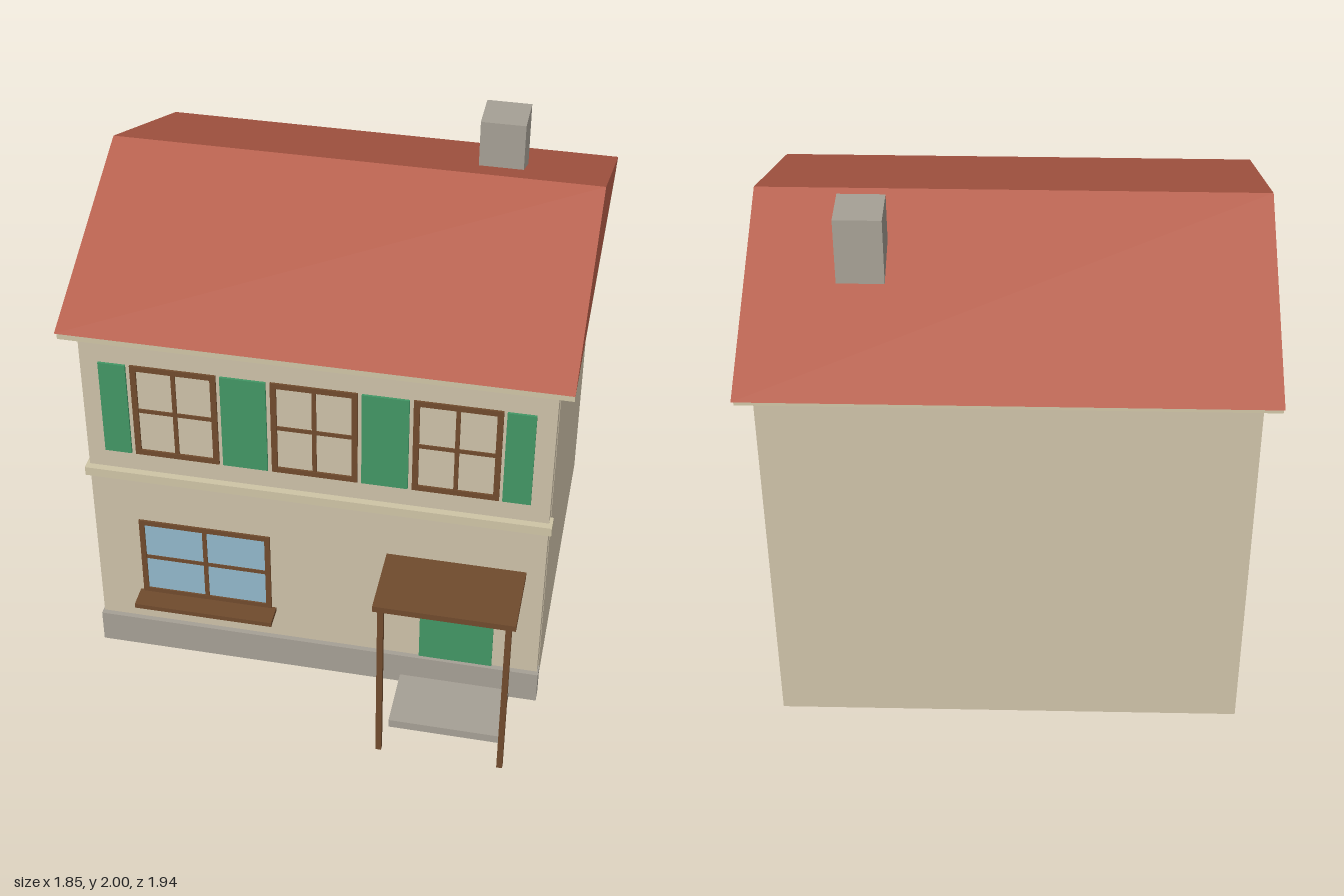
import * as THREE from 'three';

function material(name, color) {
  const m = new THREE.MeshStandardMaterial({ color });
  m.name = name;
  return m;
}

export function createModel() {
  const house = new THREE.Group();
  house.name = 'house';
  const wall = material('beige wall', 0xcdc1a8);
  const trim = material('cream trim', 0xcfc5a6);
  const plain = material('light grey', 0xc8c8c8);
  const stone = material('grey stone', 0xa6a095);
  const roofRed = material('red roof', 0xb35b47);
  const green = material('green paint', 0x429665);
  const brown = material('brown wood', 0x704b2d);
  const glass = material('blue glass', 0x92b8ca);

  // Box given by its limits on each axis
  const box = (name, mat, x0, x1, y0, y1, z0, z1, parent = house) => {
    const mesh = new THREE.Mesh(new THREE.BoxGeometry(x1 - x0, y1 - y0, z1 - z0), mat);
    mesh.position.set((x0 + x1) / 2, (y0 + y1) / 2, (z0 + z1) / 2);
    mesh.name = name;
    parent.add(mesh);
    return mesh;
  };

  // Body: grey core with wall panels on the front, back and left side
  const front = 0.57;
  box('core', plain, -0.867, 0.863, 0.003, 1.515, -0.877, 0.51);
  box('frontWall', wall, -0.87, 0.867, 0.003, 1.515, 0.51, front);
  box('leftWall', wall, 0.863, 0.867, 0.003, 1.515, -0.88, 0.483);
  box('backWall', wall, -0.867, 0.863, 0.003, 1.515, -0.88, -0.877);

  // Plinth, storey band and cornice
  box('plinth', stone, -0.876, 0.873, 0.006, 0.145, 0.535, 0.59);
  box('band', trim, -0.882, 0.88, 0.868, 0.905, 0.535, 0.597);
  box('cornice', trim, -0.925, 0.923, 1.515, 1.555, -0.935, 0.626);

  // Gabled roof as a prism along x
  const gable = new THREE.Shape([
    new THREE.Vector2(-0.65, 1.555),
    new THREE.Vector2(0.97, 1.555),
    new THREE.Vector2(0.16, 1.9),
  ]);
  const roofGeo = new THREE.ExtrudeGeometry(gable, { depth: 1.85, bevelEnabled: false });
  roofGeo.rotateY(Math.PI / 2);
  roofGeo.translate(-0.925, 0, 0);
  const roof = new THREE.Mesh(roofGeo, roofRed);
  roof.name = 'roof';
  house.add(roof);
  box('chimney', stone, 0.435, 0.605, 1.66, 2, -0.532, -0.362);

  // Window frame with crossed glazing bars
  const windowFrame = (name, x0, x1, y0, y1, w, bar) => {
    const g = new THREE.Group();
    g.name = name;
    house.add(g);
    const z0 = front - 0.005, z1 = front + 0.008;
    const cx = (x0 + x1) / 2, cy = (y0 + y1) / 2;
    for (const x of [x0, x1 - w]) box('frameSide', brown, x, x + w, y0, y1, z0, z1, g);
    for (const y of [y0, y1 - w]) box('frameRail', brown, x0 + w, x1 - w, y, y + w, z0, z1, g);
    box('uprightBar', brown, cx - bar / 2, cx + bar / 2, y0 + w, y1 - w, z0, z1 - 0.002, g);
    box('crossBar', brown, x0 + w, x1 - w, cy - bar / 2, cy + bar / 2, z0, z1 - 0.003, g);
    return g;
  };

  // Upper windows and shutters
  for (const x of [-0.522, -0.002, 0.52]) {
    windowFrame('upperWindow', x - 0.16, x + 0.16, 0.987, 1.395, 0.022, 0.016);
  }
  for (const [x0, x1] of [[-0.8, -0.698], [-0.347, -0.178], [0.173, 0.275], [0.275, 0.345], [0.692, 0.796]]) {
    box('shutter', green, x0, x1, 0.988, 1.393, front - 0.005, front + 0.009);
  }

  // Lower window with sill
  const lower = windowFrame('lowerWindow', -0.695, -0.18, 0.288, 0.655, 0.021, 0.017);
  box('pane', glass, -0.676, -0.199, 0.305, 0.636, front - 0.003, front + 0.002, lower);
  box('sill', brown, -0.71, -0.163, 0.27, 0.29, front - 0.005, 0.66, lower);

  // Door
  box('door', green, 0.405, 0.69, 0.145, 0.642, front - 0.005, front + 0.006);
  box('doorGlass', glass, 0.476, 0.616, 0.382, 0.582, front, front + 0.009);

  // Porch: step, canopy and two posts
  box('step', stone, 0.335, 0.766, 0.006, 0.042, 0.585, 0.837);
  box('canopy', brown, 0.29, 0.807, 0.73, 0.755, 0.682, 0.968);
  for (const x of [0.317, 0.78]) {
    box('post', brown, x - 0.011, x + 0.011, 0, 0.73, 0.932, 0.954);
  }
  return house;
}
